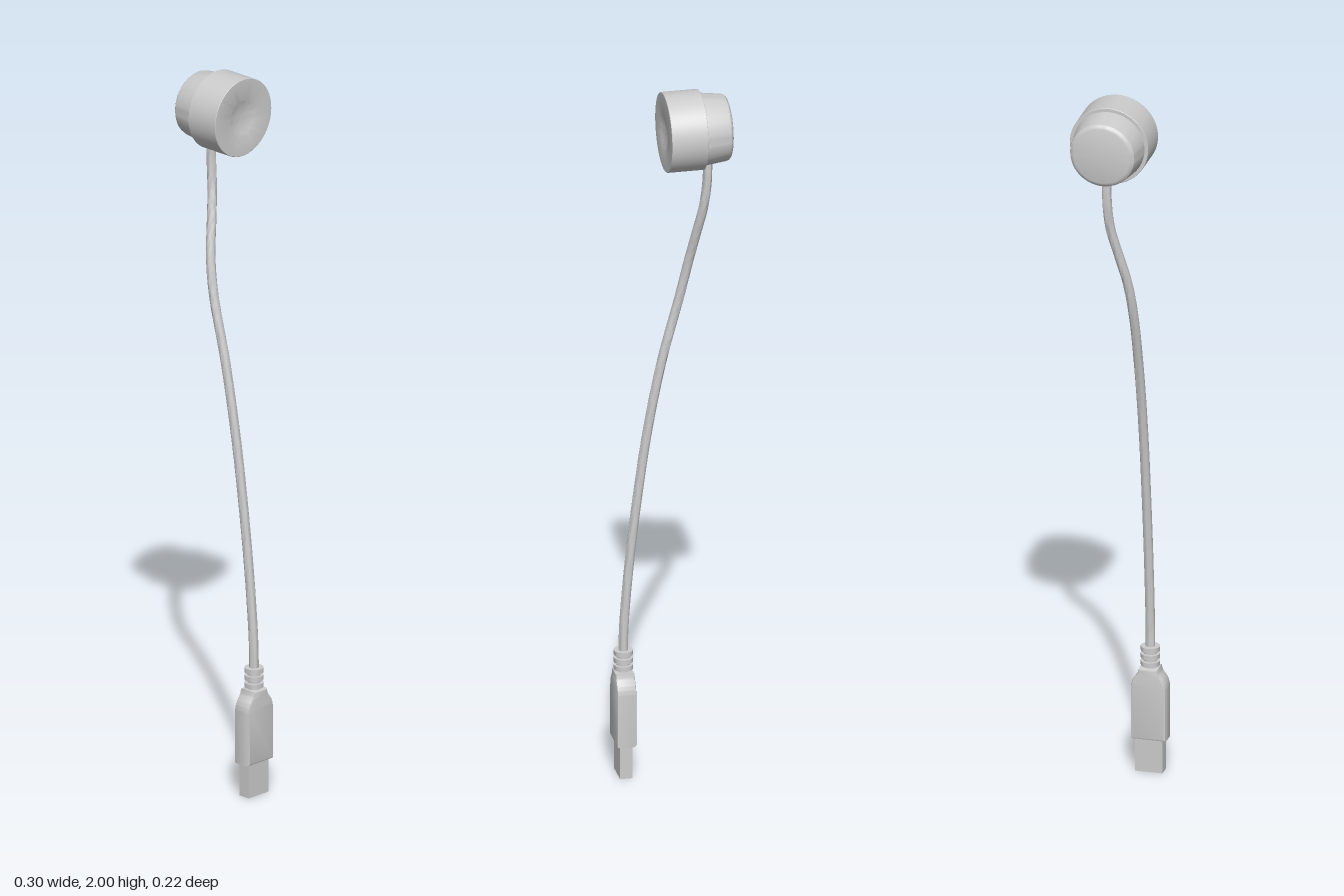
import * as THREE from 'three';
import { toCreasedNormals } from 'three/addons/utils/BufferGeometryUtils.js';

const grey = new THREE.MeshStandardMaterial({ color: 0xcccccc });
const PLUG_X = 0.123, PLUG_Z = 0.06;

function add(parent, name, geometry, crease = 0.5) {
  const mesh = new THREE.Mesh(toCreasedNormals(geometry, crease), grey);
  mesh.name = name;
  parent.add(mesh);
  return mesh;
}

function lathe(profile, segments = 64) {
  return new THREE.LatheGeometry(profile.map(([r, y]) => new THREE.Vector2(r, y)), segments);
}

function rectangle(target, w, h) {
  target.moveTo(-w / 2, -h / 2);
  target.lineTo(w / 2, -h / 2);
  target.lineTo(w / 2, h / 2);
  target.lineTo(-w / 2, h / 2);
  target.closePath();
  return target;
}

export function createModel() {
  const model = new THREE.Group();
  model.name = 'cableWithRoundHead';

  // Round head lying along x: tapered rear cap and wider drum with a dished face
  const head = new THREE.Group();
  head.name = 'head';
  head.position.set(0, 1.891, 0);
  head.rotation.z = -Math.PI / 2;
  model.add(head);
  add(head, 'rearCap', lathe([
    [0, -0.15], [0.078, -0.15], [0.084, -0.148], [0.089, -0.143], [0.091, -0.136], [0.099, -0.074],
  ]));
  add(head, 'drum', lathe([
    [0, -0.075], [0.108, -0.075], [0.109, -0.074], [0.109, 0.024], [0.108, 0.025],
    [0.052, 0.025], [0.045, 0.0225], [0.03, 0.019], [0.015, 0.017], [0, 0.0165],
  ]));

  // Flexible cable
  const path = new THREE.CatmullRomCurve3([
    [-0.095, 1.83, 0], [-0.094, 1.74, 0], [-0.085, 1.66, 0.006], [-0.07, 1.58, 0.024],
    [-0.053, 1.49, 0.045], [-0.032, 1.39, 0.056], [0.017, 1.2, 0.059], [0.056, 1.0, 0.06],
    [0.085, 0.8, 0.06], [0.108, 0.6, 0.06], [0.122, 0.42, 0.06], [PLUG_X, 0.33, PLUG_Z],
  ].map((p) => new THREE.Vector3(...p)));
  add(model, 'cable', new THREE.TubeGeometry(path, 120, 0.0128, 16), 0.9);

  const plug = new THREE.Group();
  plug.name = 'plug';
  plug.position.set(PLUG_X, 0, PLUG_Z);
  model.add(plug);

  // Ribbed strain relief
  const ribs = [[0, 0.29], [0.018, 0.29]];
  for (let i = 0; i < 3; i++) {
    const y = 0.307 + i * 0.021;
    ribs.push([0.018, y], [0.026, y], [0.026, y + 0.013], [0.018, y + 0.013]);
  }
  ribs.push([0, 0.362]);
  add(plug, 'strainRelief', lathe(ribs, 32));

  // Grip: shouldered outline in the z-y plane, bevelled across x
  const b = 0.006;
  const outline = new THREE.Shape();
  outline.moveTo(-0.049 + b, 0.095 + b);
  outline.lineTo(0.049 - b, 0.095 + b);
  outline.lineTo(0.049 - b, 0.245);
  outline.quadraticCurveTo(0.042, 0.262, 0.032, 0.274);
  outline.quadraticCurveTo(0.022, 0.285, 0.021, 0.302 - b);
  outline.lineTo(-0.021, 0.302 - b);
  outline.quadraticCurveTo(-0.022, 0.285, -0.032, 0.274);
  outline.quadraticCurveTo(-0.042, 0.262, -0.049 + b, 0.245);
  outline.closePath();
  const grip = new THREE.ExtrudeGeometry(outline, {
    depth: 0.053 - 2 * b, bevelThickness: b, bevelSize: b, bevelSegments: 2, curveSegments: 6,
  });
  grip.translate(0, 0, -0.0265 + b);
  grip.rotateY(-Math.PI / 2);
  add(plug, 'grip', grip);

  // Hollow connector shell with a contact tongue inside
  const shellShape = rectangle(new THREE.Shape(), 0.034, 0.076);
  shellShape.holes.push(rectangle(new THREE.Path(), 0.027, 0.069));
  const shell = new THREE.ExtrudeGeometry(shellShape, { depth: 0.1, bevelEnabled: false });
  shell.rotateX(-Math.PI / 2);
  add(plug, 'connectorShell', shell);
  const tongue = add(plug, 'contactTongue', new THREE.BoxGeometry(0.013, 0.094, 0.069));
  tongue.position.set(-0.007, 0.051, 0);

  return model;
}
